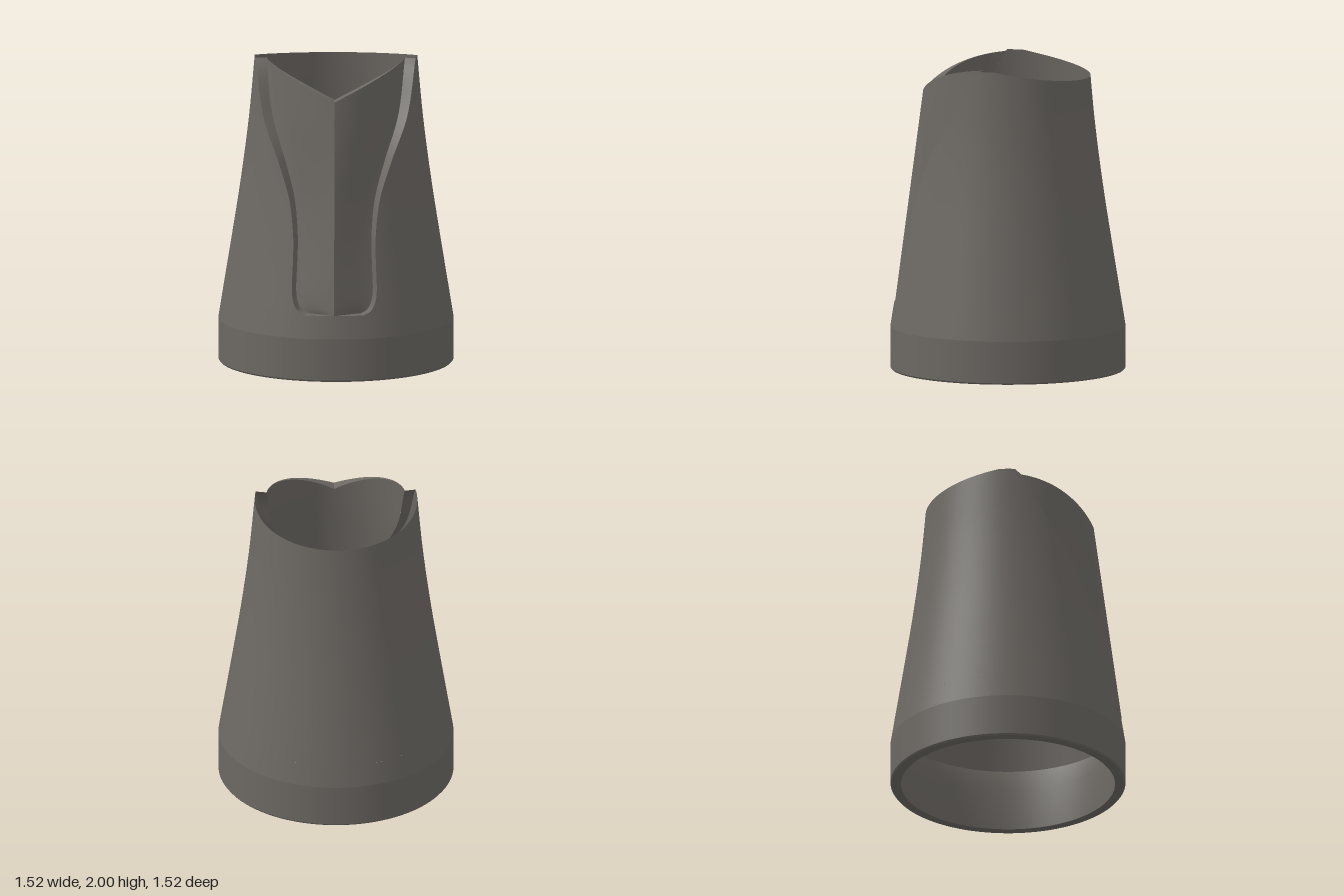
import * as THREE from 'three';

const FLOOR = 0.43;   // lower end of the front opening
const DEPTH = 0.07;   // depth of the recess
const TOP_ANGLE = 1.38;

// piecewise curve through [y, value] points, smoothed between them
function curveOf(points) {
  return (y) => {
    const n = points.length;
    if (y <= points[0][0]) return points[0][1];
    if (y >= points[n - 1][0]) return points[n - 1][1];
    let i = 0;
    while (y > points[i + 1][0]) i++;
    const slope = (k) => {
      const a = points[Math.max(k - 1, 0)], b = points[Math.min(k + 1, n - 1)];
      return (b[1] - a[1]) / (b[0] - a[0]);
    };
    const [y0, v0] = points[i], [y1, v1] = points[i + 1];
    const h = y1 - y0, t = (y - y0) / h, t2 = t * t, t3 = t2 * t;
    return v0 * (2 * t3 - 3 * t2 + 1) + v1 * (3 * t2 - 2 * t3)
      + h * (slope(i) * (t3 - 2 * t2 + t) + slope(i + 1) * (t3 - t2));
  };
}

const radius = curveOf([[0.28, 0.758], [0.43, 0.734], [0.8, 0.674], [1.2, 0.612], [1.6, 0.561], [2, 0.524]]);
const halfWidth = curveOf([[0.43, 0.19], [0.45, 0.232], [0.5, 0.262], [0.58, 0.274], [0.75, 0.268],
  [0.92, 0.266], [1.16, 0.293], [1.39, 0.365], [1.66, 0.465], [2, 0.515]]);
const openAngle = (y) => Math.asin(Math.min(0.9999, halfWidth(y) / radius(y)));
const polar = (r, angle, y) => [r * Math.sin(angle), y, r * Math.cos(angle)];

// surface from a rule f(u, v) with u and v in 0..1
function surface(f, nu, nv) {
  const pos = [], index = [];
  for (let j = 0; j <= nv; j++) {
    for (let i = 0; i <= nu; i++) pos.push(...f(i / nu, j / nv));
  }
  for (let j = 0; j < nv; j++) {
    for (let i = 0; i < nu; i++) {
      const a = j * (nu + 1) + i, b = a + 1, c = a + nu + 1, d = c + 1;
      index.push(a, b, d, a, d, c);
    }
  }
  const g = new THREE.BufferGeometry();
  g.setAttribute('position', new THREE.Float32BufferAttribute(pos, 3));
  g.setIndex(index);
  g.computeVertexNormals();
  return g;
}

export function createModel() {
  const group = new THREE.Group();
  const grey = new THREE.MeshStandardMaterial({ color: 0x6c6863, side: THREE.DoubleSide });
  grey.name = 'warm grey';
  const add = (name, geometry) => {
    const mesh = new THREE.Mesh(geometry, grey);
    mesh.name = name;
    group.add(mesh);
  };
  const lathe = (name, pts) =>
    add(name, new THREE.LatheGeometry(pts.map(([r, y]) => new THREE.Vector2(r, y)), 96));

  // base collar, lower cone and inner lip
  lathe('baseBevel', [[0.75, 0], [0.758, 0.01]]);
  lathe('baseCollar', [[0.758, 0.01], [0.758, 0.28]]);
  lathe('lowerCone', [[radius(0.28), 0.28], [radius(0.36), 0.36], [radius(FLOOR), FLOOR]]);
  lathe('baseUnderside', [[0.69, 0], [0.75, 0]]);
  lathe('innerLip', [[radius(FLOOR), FLOOR], [0.69, 0.28], [0.69, 0]]);

  // wrapped shell, open at the front, with its rim sloping down to the back
  add('shell', surface((u, v) => {
    const a = TOP_ANGLE + (2 * Math.PI - 2 * TOP_ANGLE) * u;
    const top = 2 + 0.17 * Math.min(0, 0.525 * Math.cos(a));
    const y = FLOOR + (top - FLOOR) * Math.pow(v, 1.3);
    const open = openAngle(y);
    return polar(radius(y), open + (2 * Math.PI - 2 * open) * u, y);
  }, 96, 60));

  // ledge at the bottom of the opening
  const open = openAngle(FLOOR);
  add('recessLedge', surface((u, v) =>
    polar(radius(FLOOR) - DEPTH * v, open * (2 * u - 1), FLOOR), 16, 1));

  // recessed front panel with a centre ridge, as two mirrored halves
  const panelY = (u, v) => {
    const top = 1.8 + 0.2 * Math.sin(u * TOP_ANGLE) / Math.sin(TOP_ANGLE);
    return FLOOR + (top - FLOOR) * Math.pow(v, 1.3);
  };
  const innerRadius = (y) => radius(y) - DEPTH;
  const outerRadius = (u, y) => {
    const ridge = 0.737 - (y - FLOOR) * 0.133;
    return innerRadius(y) + (ridge - innerRadius(y)) * Math.pow(1 - u, 1.75);
  };
  for (const [side, s] of [['left', 1], ['right', -1]]) {
    add(side + 'PanelFront', surface((u, v) => {
      const y = panelY(u, v);
      return polar(outerRadius(u, y), s * u * openAngle(y), y);
    }, 24, 48));
    add(side + 'PanelBack', surface((u, v) => {
      const y = panelY(u, v);
      return polar(innerRadius(y), s * u * openAngle(y), y);
    }, 24, 48));
    add(side + 'PanelRim', surface((u, v) => {
      const y = panelY(u, 1), r = outerRadius(u, y);
      return polar(r + (innerRadius(y) - r) * v, s * u * openAngle(y), y);
    }, 24, 1));
    // wall between the shell edge and the recessed panel
    add(side + 'RecessWall', surface((u, v) => {
      const y = panelY(1, v);
      return polar(radius(y) - DEPTH * u, s * openAngle(y), y);
    }, 1, 60));
  }
  return group;
}
